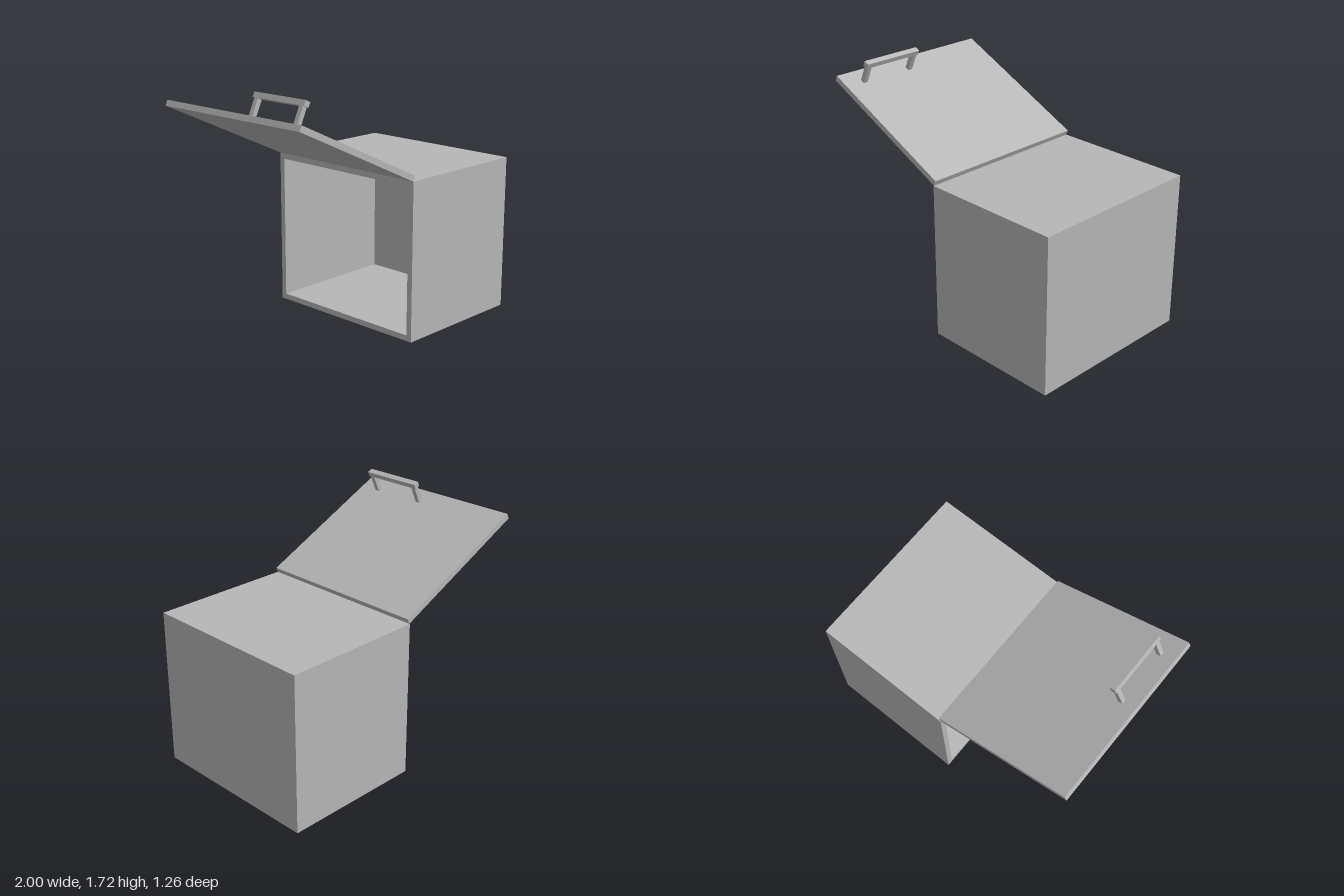
import * as THREE from 'three';

export function createModel() {
  const model = new THREE.Group();
  model.name = 'openBox';
  const grey = new THREE.MeshStandardMaterial({ color: 0xb6b6b6 });
  grey.name = 'plain grey';

  const WALL = 0.04, LEFT = -0.005, RIGHT = 1, HEIGHT = 1.104, HALF = 0.628;

  // Box spanning min and max corners
  function block(name, parent, [x0, y0, z0], [x1, y1, z1]) {
    const geo = new THREE.BoxGeometry(x1 - x0, y1 - y0, z1 - z0);
    geo.translate((x0 + x1) / 2, (y0 + y1) / 2, (z0 + z1) / 2);
    const mesh = new THREE.Mesh(geo, grey);
    mesh.name = name;
    parent.add(mesh);
  }

  function rectangle(path, halfWidth, bottom, top) {
    path.moveTo(-halfWidth, bottom);
    path.lineTo(halfWidth, bottom);
    path.lineTo(halfWidth, top);
    path.lineTo(-halfWidth, top);
    path.closePath();
    return path;
  }

  // Hollow body: a rectangular tube along x, open towards -x
  const outline = rectangle(new THREE.Shape(), HALF, 0, HEIGHT);
  outline.holes.push(rectangle(new THREE.Path(), HALF - WALL, WALL, HEIGHT - WALL));
  const tube = new THREE.ExtrudeGeometry(outline, { depth: RIGHT - LEFT, bevelEnabled: false });
  tube.rotateY(Math.PI / 2).translate(LEFT, 0, 0);
  const body = new THREE.Mesh(tube, grey);
  body.name = 'bodyWalls';
  model.add(body);

  // Closed end of the body
  block('endWall', model,
    [RIGHT - WALL, WALL, -HALF + WALL], [RIGHT, HEIGHT - WALL, HALF - WALL]);

  // Door raised on the top edge of the opening
  const door = new THREE.Group();
  door.name = 'door';
  door.position.set(LEFT, HEIGHT, 0);
  door.rotation.z = -THREE.MathUtils.degToRad(25);
  model.add(door);
  block('doorPanel', door, [-1.098, 0, -0.624], [0, 0.04, 0.624]);

  // Handle: two posts and a grip
  for (const z of [0.078, 0.472]) {
    block('handlePost', door, [-1.002, 0.04, z - 0.016], [-0.968, 0.17, z + 0.016]);
  }
  block('handleGrip', door, [-1.006, 0.17, 0.05], [-0.966, 0.206, 0.5]);

  return model;
}
